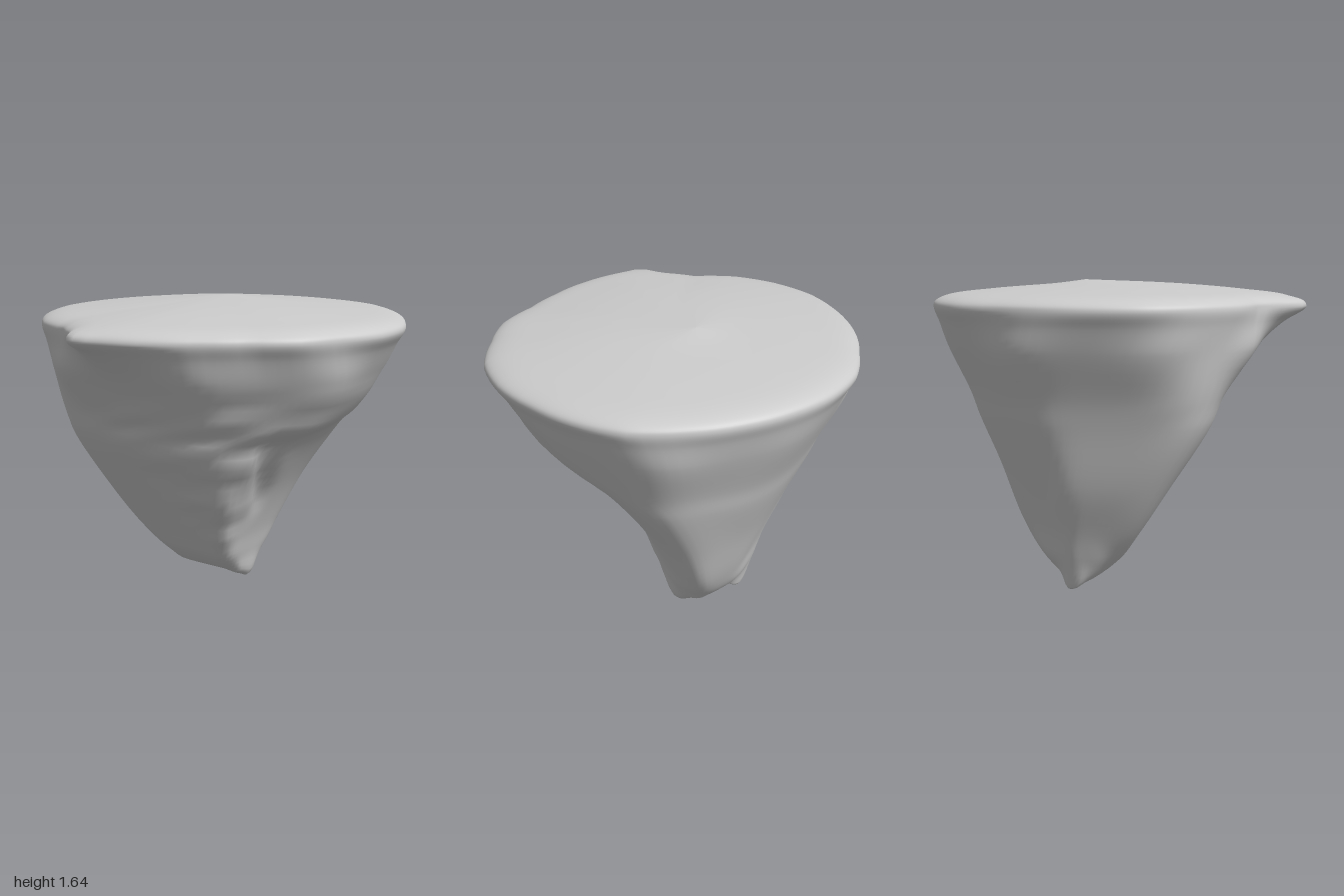
import * as THREE from 'three';

const SEG = 96, STEPS = 72;

// Rim radius every 15 degrees, turning from +x towards +z
const RIM = [0.99, 1.0, 1.02, 1.0, 0.98, 0.98, 0.965, 0.92, 0.91, 0.86, 0.87, 0.91,
  0.96, 0.92, 0.87, 0.94, 0.975, 0.995, 0.985, 0.98, 0.975, 1.0, 1.0, 0.99];

// Directions in degrees, from +x towards +z, in which each section's reach is given
const DIRS = [0, 45, 67.5, 90, 135, 180, 225, 270, 315, 337.5];

// Rock sections: height, then the reach in each direction
const SECTIONS = [
  [0.06, 0.35, 0.21, 0.13, 0.04, 0.0, -0.1, 0.17, 0.42, 0.41, 0.35],
  [0.17, 0.45, 0.31, 0.2, 0.09, 0.08, 0.05, 0.29, 0.455, 0.46, 0.45],
  [0.33, 0.575, 0.43, 0.27, 0.14, 0.24, 0.16, 0.45, 0.515, 0.5, 0.53],
  [0.6, 0.67, 0.6, 0.41, 0.27, 0.42, 0.33, 0.64, 0.635, 0.6, 0.63],
  [0.92, 0.785, 0.77, 0.63, 0.5, 0.57, 0.53, 0.82, 0.735, 0.74, 0.77],
  [1.07, 0.83, 0.82, 0.75, 0.72, 0.65, 0.59, 0.86, 0.79, 0.8, 0.83],
  [1.3, 0.925, 0.92, 0.9, 0.86, 0.78, 0.75, 0.9, 0.9, 0.91, 0.95],
];

// Point of a rounded many-sided section in direction a
function sectionPoint([y, ...reach], a) {
  const cx = (reach[0] - reach[5]) / 2, cz = (reach[3] - reach[7]) / 2;
  let sum = 0;
  reach.forEach((s, i) => {
    const t = THREE.MathUtils.degToRad(DIRS[i]);
    const local = s - cx * Math.cos(t) - cz * Math.sin(t);
    sum += Math.pow(Math.max(0, Math.cos(a - t)) / local, 18);
  });
  const r = Math.pow(sum, -1 / 18);
  return new THREE.Vector3(cx + r * Math.cos(a), y, cz + r * Math.sin(a));
}

// Point on the rim outline, with a small blunt spur on the -x side
function rimPoint(a, scale, y, spur = 1) {
  const u = a / (Math.PI * 2) * RIM.length, i = Math.floor(u);
  let r = THREE.MathUtils.lerp(RIM[i % 24], RIM[(i + 1) % 24], u - i);
  r += spur * 0.065 * Math.exp(-Math.pow((a - 3.3) / 0.1, 4));
  return new THREE.Vector3(r * scale * Math.cos(a), y, r * scale * Math.sin(a));
}

// One line from the underside, up the rock and over the domed top
function column(a) {
  const rock = SECTIONS.map((s) => sectionPoint(s, a));
  const shoulder = rock.at(-1).clone().lerp(rimPoint(a, 1, 1.51, 0.6), 0.6);
  // two teeth at the front and back of the foot
  rock[0].y -= 0.055 * Math.pow(Math.abs(Math.sin(a)), 14);
  return new THREE.CatmullRomCurve3([
    new THREE.Vector3(0.24, 0.085, -0.28),
    ...rock,
    shoulder,
    rimPoint(a, 0.998, 1.5),
    rimPoint(a, 0.99, 1.53),
    rimPoint(a, 0.93, 1.56, 0.5),
    rimPoint(a, 0.7, 1.59, 0),
    rimPoint(a, 0.35, 1.618, 0),
    new THREE.Vector3(0.17, 1.64, -0.08),
  ]);
}

// Crevice on the front and rough ledges on the front left flank
function erode(p) {
  if (p.y > 1.3 || p.y < 0.1) return;
  const fade = Math.min(1, (1.3 - p.y) / 0.3, (p.y - 0.1) / 0.15);
  if (p.z > 0) {
    const t = THREE.MathUtils.clamp((0.95 - p.y) / 0.4, 0, 1);
    const d = Math.hypot(p.x - (-0.27 + 0.32 * t), p.y - (0.95 - 0.4 * t));
    p.z -= 0.055 * (1 - 0.5 * t) * Math.exp(-d * d / 0.006);
  }
  const flank = THREE.MathUtils.smoothstep(p.z - p.x, 0.05, 0.45) * fade;
  const n = Math.sin(p.y * 27 + p.x * 5) + 0.6 * Math.sin(p.y * 46 - p.z * 13);
  p.x -= 0.01 * n * flank;
  p.z += 0.008 * n * flank;
}

export function createModel() {
  const pos = [], index = [];
  for (let j = 0; j < SEG; j++) {
    const curve = column(j / SEG * Math.PI * 2);
    for (let i = 0; i <= STEPS; i++) {
      const p = curve.getPoint(i / STEPS);
      erode(p);
      pos.push(p.x, p.y, p.z);
      if (i === STEPS) continue;
      const a = j * (STEPS + 1) + i, b = ((j + 1) % SEG) * (STEPS + 1) + i;
      if (i > 0) index.push(a, a + 1, b);
      index.push(a + 1, b + 1, b);
    }
  }
  const geo = new THREE.BufferGeometry();
  geo.setAttribute('position', new THREE.Float32BufferAttribute(pos, 3));
  geo.setIndex(index);
  geo.computeVertexNormals();

  const island = new THREE.Mesh(geo, new THREE.MeshStandardMaterial({ color: 0xcccccc }));
  island.name = 'floatingRock';
  const group = new THREE.Group();
  group.name = 'floatingIsland';
  group.add(island);
  return group;
}
